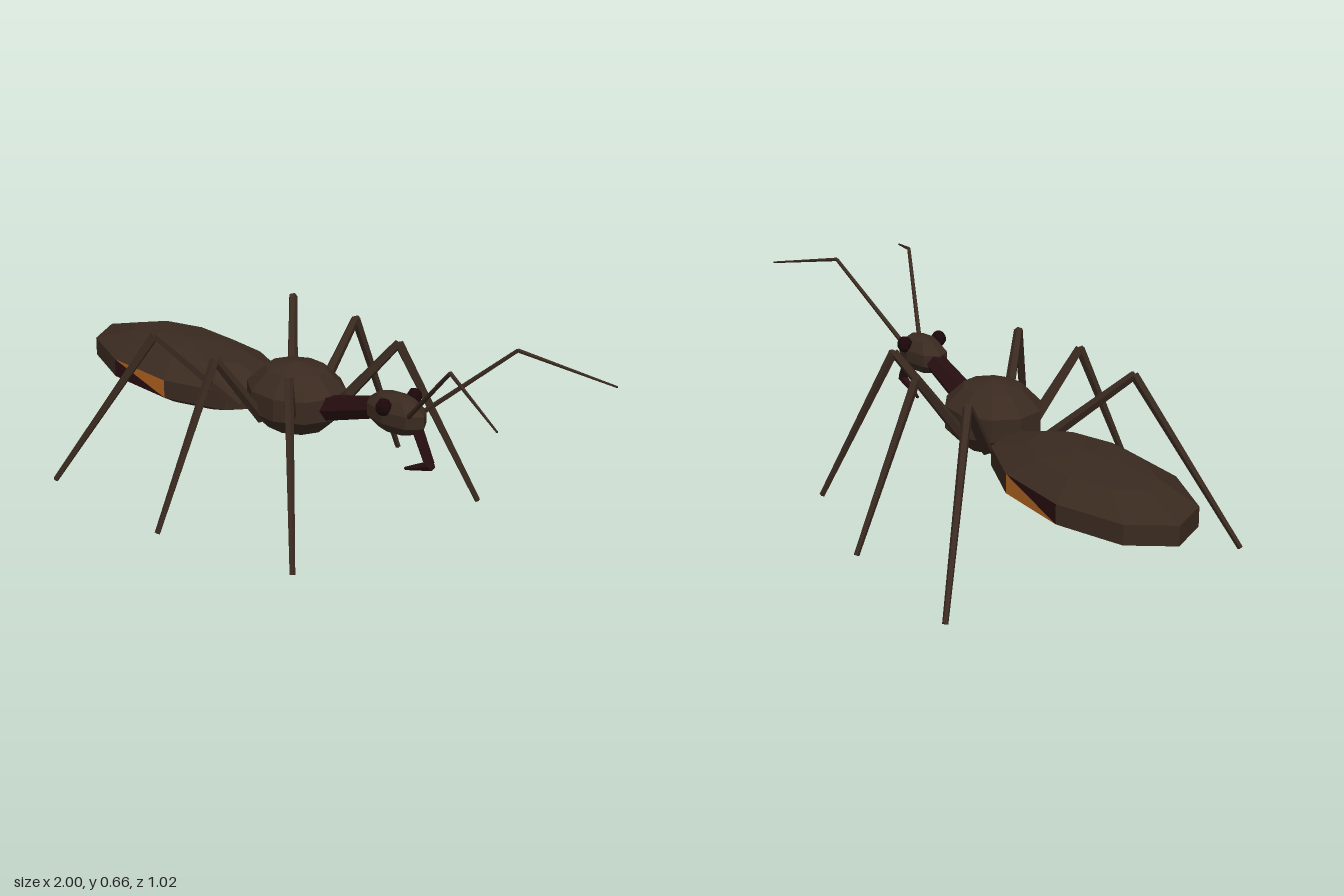
import * as THREE from 'three';

const flat = (name, color) => {
  const m = new THREE.MeshStandardMaterial({ color, flatShading: true });
  m.name = name;
  return m;
};

export function createModel() {
  const root = new THREE.Group();
  root.name = 'insect';
  const brown = flat('dark brown shell', 0x3a2a20);
  const wine = flat('dark wine', 0x270e10);
  const orange = flat('orange patch', 0xb0621f);
  const eyeMat = flat('eye', 0x1c0709);

  const add = (name, geometry, material, parent = root) => {
    const mesh = new THREE.Mesh(geometry, material);
    mesh.name = name;
    parent.add(mesh);
    return mesh;
  };

  // Faceted ellipsoid with the given centre and radii
  const ellipsoid = (centre, radii, around, rows) =>
    new THREE.SphereGeometry(1, around, rows).scale(...radii).translate(...centre);

  // Tapered rod between two points
  const rod = (name, from, to, r0, r1, material, sides, parent) => {
    const a = new THREE.Vector3(...from), b = new THREE.Vector3(...to);
    const dir = b.clone().sub(a);
    const mesh = add(name, new THREE.CylinderGeometry(r1, r0, dir.length(), sides), material, parent);
    mesh.position.copy(a).add(b).multiplyScalar(0.5);
    mesh.quaternion.setFromUnitVectors(new THREE.Vector3(0, 1, 0), dir.normalize());
    return mesh;
  };

  // Abdomen: the middle side facets are half orange, half wine
  const cx = -0.58, cy = 0.29;
  const abdomen = ellipsoid([cx, cy, 0], [0.442, 0.095, 0.221], 10, 5).toNonIndexed();
  abdomen.clearGroups();
  const p = abdomen.attributes.position;
  for (let i = 0; i < p.count; i += 3) {
    let x = 0, y = 0, z = 0;
    for (let k = i; k < i + 3; k++) {
      x += p.getX(k) / 3;
      y += p.getY(k) / 3;
      z += p.getZ(k) / 3;
    }
    const side = Math.abs(z) > 0.19 && Math.abs(y - cy) < 0.02;
    abdomen.addGroup(i, 3, side ? (x > cx ? 1 : 2) : 0);
  }
  add('abdomen', abdomen, [brown, orange, wine]);

  // Thorax, neck and head
  add('thorax', ellipsoid([-0.045, 0.336, 0], [0.173, 0.114, 0.153], 10, 5), brown);
  rod('neck', [0.06, 0.325, 0], [0.32, 0.405, 0], 0.042, 0.034, wine, 6);
  add('head', ellipsoid([0.393, 0.41, 0], [0.118, 0.061, 0.064], 8, 5), brown);

  // Folded beak below the head
  const beak = new THREE.Group();
  beak.name = 'beak';
  root.add(beak);
  rod('upperBeak', [0.475, 0.39, 0], [0.53, 0.29, 0], 0.018, 0.016, wine, 5, beak);
  rod('lowerBeak', [0.538, 0.29, 0], [0.433, 0.247, 0], 0.016, 0.005, wine, 5, beak);

  // Hip, knee and foot of the legs on one side
  const legs = {
    front: [[0.03, 0.29, 0.09], [0.172, 0.51, 0.222], [0.37, 0.006, 0.383]],
    middle: [[-0.078, 0.28, 0.11], [-0.085, 0.51, 0.285], [-0.104, 0.006, 0.502]],
    rear: [[-0.19, 0.29, 0.11], [-0.38, 0.51, 0.282], [-0.635, 0.006, 0.502]],
  };
  for (const s of [1, -1]) {
    const side = s > 0 ? 'Right' : 'Left';
    const flip = ([x, y, z]) => [x, y, z * s];

    add('eye' + side, ellipsoid([0.402, 0.446, 0.062 * s], [0.025, 0.027, 0.024], 6, 5), eyeMat);

    for (const [name, points] of Object.entries(legs)) {
      const leg = new THREE.Group();
      leg.name = name + 'Leg' + side;
      root.add(leg);
      const [hip, knee, foot] = points.map(flip);
      rod('thigh', hip, knee, 0.019, 0.014, brown, 5, leg);
      rod('shin', knee, foot, 0.015, 0.009, brown, 5, leg);
    }

    const antenna = new THREE.Group();
    antenna.name = 'antenna' + side;
    root.add(antenna);
    const bend = flip([0.73, 0.66, 0.134]);
    rod('antennaBase', flip([0.47, 0.425, 0.03]), bend, 0.008, 0.006, brown, 5, antenna);
    rod('antennaTip', bend, flip([1, 0.602, 0.239]), 0.006, 0.003, brown, 5, antenna);
  }
  return root;
}
